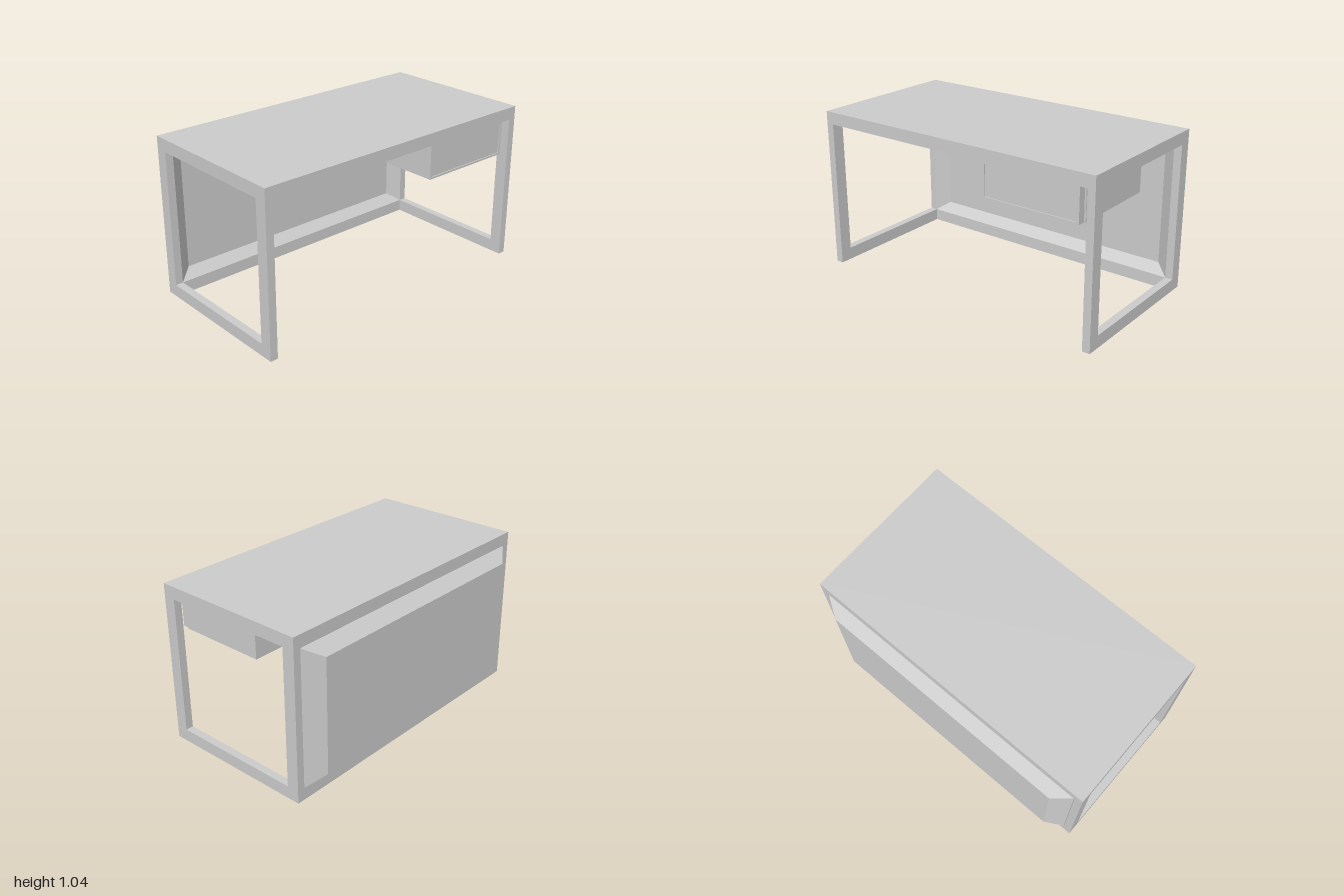
import * as THREE from 'three';

const material = new THREE.MeshStandardMaterial({ color: 0xcccccc, flatShading: true });

function add(parent, name, geometry) {
  const mesh = new THREE.Mesh(geometry, material);
  mesh.name = name;
  parent.add(mesh);
  return mesh;
}

// Box given by its lower and upper limits on each axis
function addBox(parent, name, [x0, x1], [y0, y1], [z0, z1]) {
  const mesh = add(parent, name, new THREE.BoxGeometry(x1 - x0, y1 - y0, z1 - z0));
  mesh.position.set((x0 + x1) / 2, (y0 + y1) / 2, (z0 + z1) / 2);
  return mesh;
}

// Closed solid through a row of rectangles, ordered from the front cap to the back cap
function rectLoft(rings) {
  const points = [];
  const indices = [];
  for (const { x, y0, y1, z } of rings) {
    points.push(-x, y0, z, x, y0, z, x, y1, z, -x, y1, z);
  }
  for (let r = 0; r < rings.length - 1; r++) {
    for (let i = 0; i < 4; i++) {
      const j = (i + 1) % 4;
      const a = r * 4, b = a + 4;
      indices.push(b + i, b + j, a + j, b + i, a + j, a + i);
    }
  }
  const n = (rings.length - 1) * 4;
  indices.push(0, 1, 2, 0, 2, 3, n, n + 2, n + 1, n, n + 3, n + 2);
  const geometry = new THREE.BufferGeometry();
  geometry.setAttribute('position', new THREE.Float32BufferAttribute(points, 3));
  geometry.setIndex(indices);
  const flat = geometry.toNonIndexed();
  flat.computeVertexNormals();
  return flat;
}

// U-shaped side frame: front leg, floor bar and back leg in one piece
function sideFrameGeometry() {
  const outline = [
    [-0.555, 0], [0.48, 0], [0.48, 0.96], [0.4, 0.96],
    [0.4, 0.08], [-0.475, 0.08], [-0.475, 0.96], [-0.555, 0.96],
  ];
  const shape = new THREE.Shape(outline.map(([u, v]) => new THREE.Vector2(u, v)));
  const geometry = new THREE.ExtrudeGeometry(shape, { depth: 0.05, bevelEnabled: false });
  geometry.translate(0, 0, -0.025);
  geometry.rotateY(Math.PI / 2); // shape x becomes -z
  return geometry;
}

export function createModel() {
  const desk = new THREE.Group();
  desk.name = 'desk';

  // Top slab and the two side frames
  addBox(desk, 'tabletop', [-1, 1], [0.96, 1.04], [-0.48, 0.555]);
  for (const side of [-1, 1]) {
    const name = side > 0 ? 'leftSideFrame' : 'rightSideFrame';
    add(desk, name, sideFrameGeometry()).position.x = side * 0.975;
  }

  // Low bar joining the back legs
  addBox(desk, 'backRail', [-0.95, 0.95], [0, 0.08], [-0.48, -0.4]);

  // Back panel: a tray, hollow in front and bulging out behind
  add(desk, 'backPanel', rectLoft([
    { x: 0.865, y0: 0.14, y1: 0.9, z: -0.46 },
    { x: 0.95, y0: 0.08, y1: 0.96, z: -0.4 },
    { x: 0.945, y0: 0.08, y1: 0.955, z: -0.48 },
    { x: 0.835, y0: 0.147, y1: 0.888, z: -0.555 },
  ]));

  // Drawer hung under the top
  const drawer = new THREE.Group();
  drawer.name = 'drawer';
  desk.add(drawer);
  addBox(drawer, 'drawerCase', [0.245, 0.905], [0.735, 0.96], [-0.09, 0.49]);

  // Drawer front: a plate with a slightly sunken panel
  const front = add(drawer, 'drawerFront', rectLoft([
    { x: 0.311, y0: 0.748, y1: 0.945, z: 0.533 },
    { x: 0.311, y0: 0.748, y1: 0.945, z: 0.54 },
    { x: 0.325, y0: 0.735, y1: 0.957, z: 0.54 },
    { x: 0.325, y0: 0.735, y1: 0.957, z: 0.49 },
  ]));
  front.position.x = 0.57;

  return desk;
}
